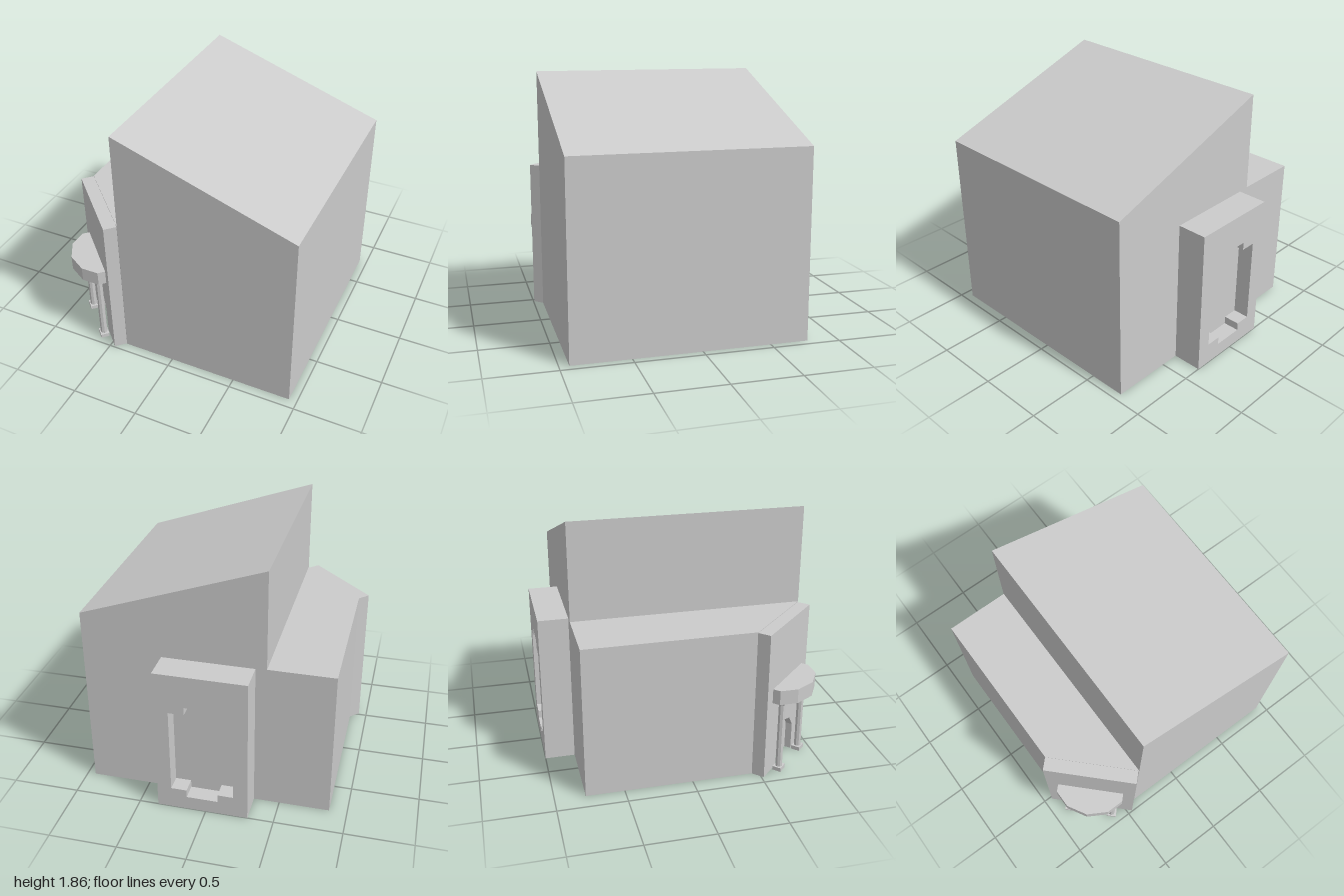
import * as THREE from 'three';

const material = new THREE.MeshStandardMaterial({ color: 0xcccccc, flatShading: true });

function add(parent, name, geometry, x = 0, y = 0, z = 0) {
  const mesh = new THREE.Mesh(geometry, material);
  mesh.name = name;
  mesh.position.set(x, y, z);
  parent.add(mesh);
  return mesh;
}

const points = (list) => list.map(([x, y]) => new THREE.Vector2(x, y));

// Upright outline in x, y pushed out along +z
function slab(outline, depth, hole) {
  const shape = new THREE.Shape(points(outline));
  if (hole) shape.holes.push(new THREE.Path(points(hole)));
  return new THREE.ExtrudeGeometry(shape, { depth, bevelEnabled: false });
}

// Floor plan in x, z raised along +y
function prism(plan, height) {
  return slab(plan.map(([x, z]) => [x, -z]), height).rotateX(-Math.PI / 2);
}

const rect = (w, h) => [[-w, 0], [w, 0], [w, h], [-w, h]];

export function createModel() {
  const model = new THREE.Group();
  model.name = 'building';

  // Main block with a single sloping roof
  add(model, 'mainBlock', slab([[-0.39, 0], [0.94, 0], [0.94, 1.4], [-0.39, 1.86]], 1.71), 0, 0, -0.78);

  // Low side wing with its front corner cut off at 45 degrees
  add(model, 'sideWing', prism([[-0.87, -0.78], [-0.39, -0.78], [-0.39, 0.93], [-0.87, 0.45]], 1.13));

  // Rear bay: solid back part and a front layer with a stepped recess
  const bay = new THREE.Group();
  bay.name = 'rearBay';
  bay.position.set(0.025, 0, -1);
  model.add(bay);
  const recess = [
    [-0.23, 0.165], [-0.115, 0.165], [-0.115, 0.105], [0.115, 0.105], [0.115, 0.165], [0.23, 0.165],
    [0.23, 0.82], [0.115, 0.82], [0.115, 0.88], [-0.115, 0.88], [-0.115, 0.82], [-0.23, 0.82],
  ];
  add(bay, 'bayFrame', slab(rect(0.335, 1.125), 0.12, recess));
  add(bay, 'bayCore', slab(rect(0.335, 1.125), 0.1), 0, 0, 0.12);

  // Diagonal entrance, local +z pointing outwards
  const entrance = new THREE.Group();
  entrance.name = 'entrance';
  entrance.position.set(-0.7, 0, 0.755);
  entrance.rotation.y = -Math.PI / 4;
  model.add(entrance);
  const doorway = [
    [-0.337, 0], [-0.14, 0], [-0.14, 0.21], [-0.08, 0.295], [0, 0.32], [0.08, 0.295], [0.14, 0.21], [0.14, 0],
    [0.337, 0], [0.337, 1.125], [-0.337, 1.125],
  ];
  add(entrance, 'entranceFront', slab(doorway, 0.05), 0, 0, -0.05);
  add(entrance, 'entranceBack', slab(rect(0.337, 1.125), 0.05), 0, 0, -0.1);

  // Canopy with a faceted front
  const canopy = [[-0.25, 0], [-0.25, 0.057], [-0.156, 0.152], [0, 0.194], [0.156, 0.152], [0.25, 0.057], [0.25, 0]];
  add(entrance, 'canopy', prism(canopy, 0.11), 0, 0.57, 0);

  // Pair of columns with square bases and capitals
  for (const side of [-1, 1]) {
    const column = new THREE.Group();
    column.name = side < 0 ? 'rightColumn' : 'leftColumn';
    column.position.set(side * 0.172, 0, 0.042);
    entrance.add(column);
    add(column, 'columnBase', new THREE.BoxGeometry(0.078, 0.03, 0.065), 0, 0.015, 0);
    add(column, 'columnShaft', new THREE.CylinderGeometry(0.026, 0.026, 0.52, 8), 0, 0.29, 0);
    add(column, 'columnCapital', new THREE.BoxGeometry(0.078, 0.022, 0.065), 0, 0.56, 0);
  }

  return model;
}
